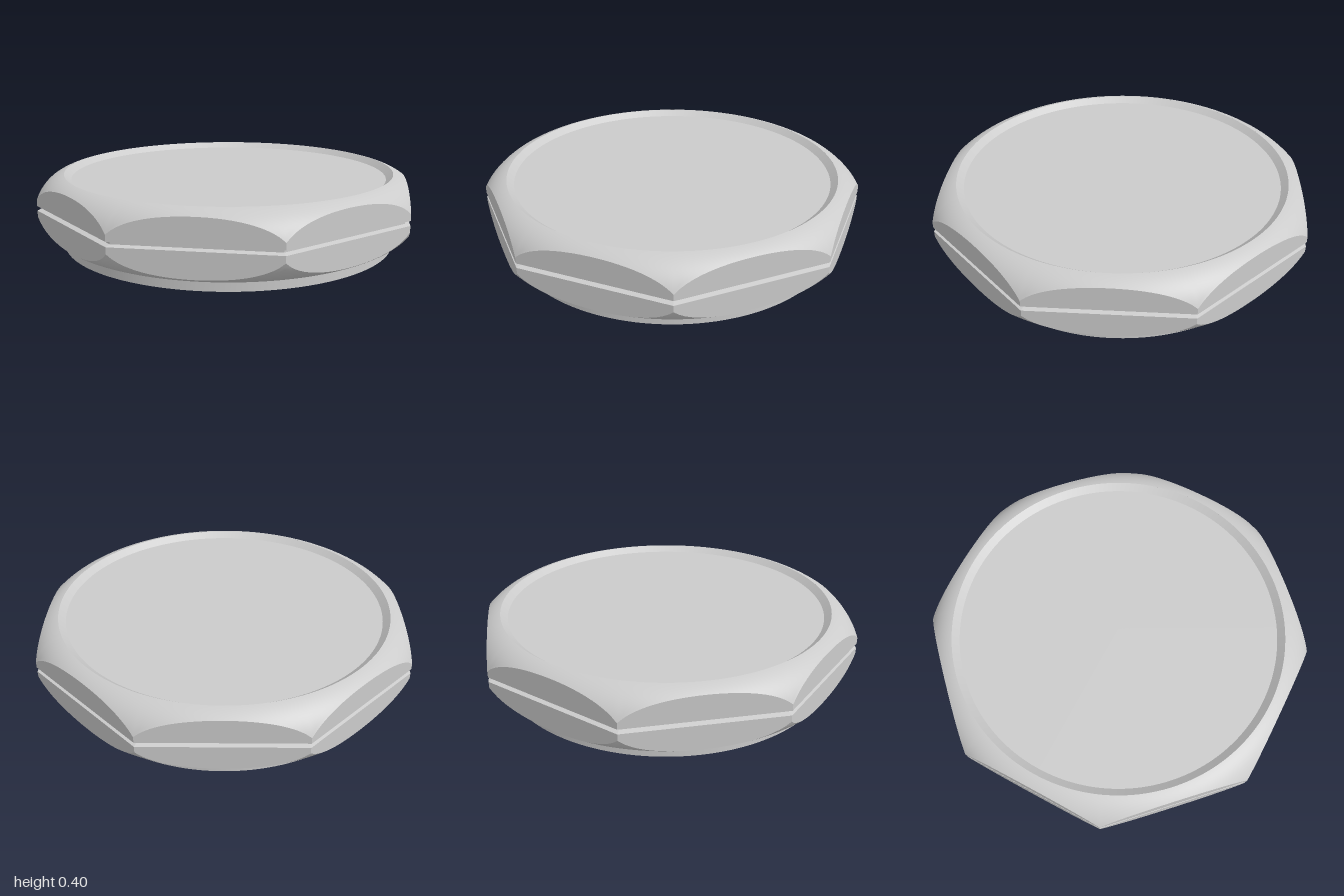
import * as THREE from 'three';

const COLUMNS = 256;            // multiple of 16, so columns land on the corners
const TOP = 0.403, RIM = 0.93;  // crown height and radius of its inner edge
const MIRROR = 0.446;           // lower half is y -> MIRROR - y

// Distance from the axis to the octagon outline at an angle
function octagon(angle, apothem = 1) {
  const step = Math.PI / 4;
  return apothem / Math.cos(angle - Math.round(angle / step) * step);
}

// Height of the turned shoulder at radius r (circular arc)
const shoulder = r => 0.187 + Math.sqrt(0.2227 ** 2 - (r - 0.876) ** 2);

// Closed band around the axis; point(angle, t) returns [radius, y], t runs top to bottom
function band(name, rows, point, flatShading = false) {
  const positions = [], index = [];
  for (let i = 0; i <= rows; i++) {
    for (let j = 0; j < COLUMNS; j++) {
      const angle = j / COLUMNS * Math.PI * 2;
      const [r, y] = point(angle, i / rows);
      positions.push(r * Math.sin(angle), y, r * Math.cos(angle));
      if (i === rows) continue;
      const a = i * COLUMNS + j, b = i * COLUMNS + (j + 1) % COLUMNS;
      const c = a + COLUMNS, d = b + COLUMNS;
      index.push(a, c, b, b, c, d);
    }
  }
  const geometry = new THREE.BufferGeometry();
  geometry.setAttribute('position', new THREE.Float32BufferAttribute(positions, 3));
  geometry.setIndex(index);
  geometry.computeVertexNormals();
  const mesh = new THREE.Mesh(geometry, material(flatShading));
  mesh.name = name;
  return mesh;
}

function material(flatShading = false) {
  return new THREE.MeshStandardMaterial({ color: 0xcccccc, side: THREE.DoubleSide, flatShading });
}

export function createModel() {
  const model = new THREE.Group();
  model.name = 'octagonalCap';
  const mix = THREE.MathUtils.lerp;

  // Rounded shoulders, trimmed by the octagon
  const upper = (angle, t) => {
    const r = mix(RIM, octagon(angle), t);
    return [r, shoulder(r)];
  };
  const lower = (angle, t) => {
    const [r, y] = upper(angle, 1 - t);
    return [r, MIRROR - y];
  };
  model.add(band('upperShoulder', 16, upper), band('lowerShoulder', 16, lower));

  // Flat side facets above and below the groove
  const grooveTop = 0.236, grooveBottom = 0.21;
  model.add(band('upperFacets', 1, (angle, t) => {
    const r = octagon(angle);
    return [r, mix(shoulder(r), grooveTop, t)];
  }, true));
  model.add(band('lowerFacets', 1, (angle, t) => {
    const r = octagon(angle);
    return [r, mix(grooveBottom, MIRROR - shoulder(r), t)];
  }, true));

  // Groove around the middle
  const groove = [[1, grooveTop], [0.973, 0.229], [0.973, 0.217], [1, grooveBottom]];
  model.add(band('sideGroove', 3, (angle, t) => {
    const [apothem, y] = groove[Math.round(t * 3)];
    return [octagon(angle, apothem), y];
  }, true));

  // Recessed top plate and the bevel leading down to it
  const plateRadius = 0.892, plateY = 0.371;
  model.add(band('topBevel', 1, (angle, t) => [mix(plateRadius, RIM, t), mix(plateY, TOP, t)]));
  const plate = new THREE.Mesh(new THREE.CircleGeometry(plateRadius, COLUMNS), material());
  plate.name = 'topPlate';
  plate.rotation.x = -Math.PI / 2;
  plate.position.y = plateY;
  model.add(plate);

  // Thin round skirt under the open base, with the ledge joining it to the shoulder
  const skirtRadius = 0.942, skirtTop = MIRROR - shoulder(skirtRadius);
  model.add(band('bottomSkirt', 1, (angle, t) => [skirtRadius, skirtTop * (1 - t)]));

  return model;
}
